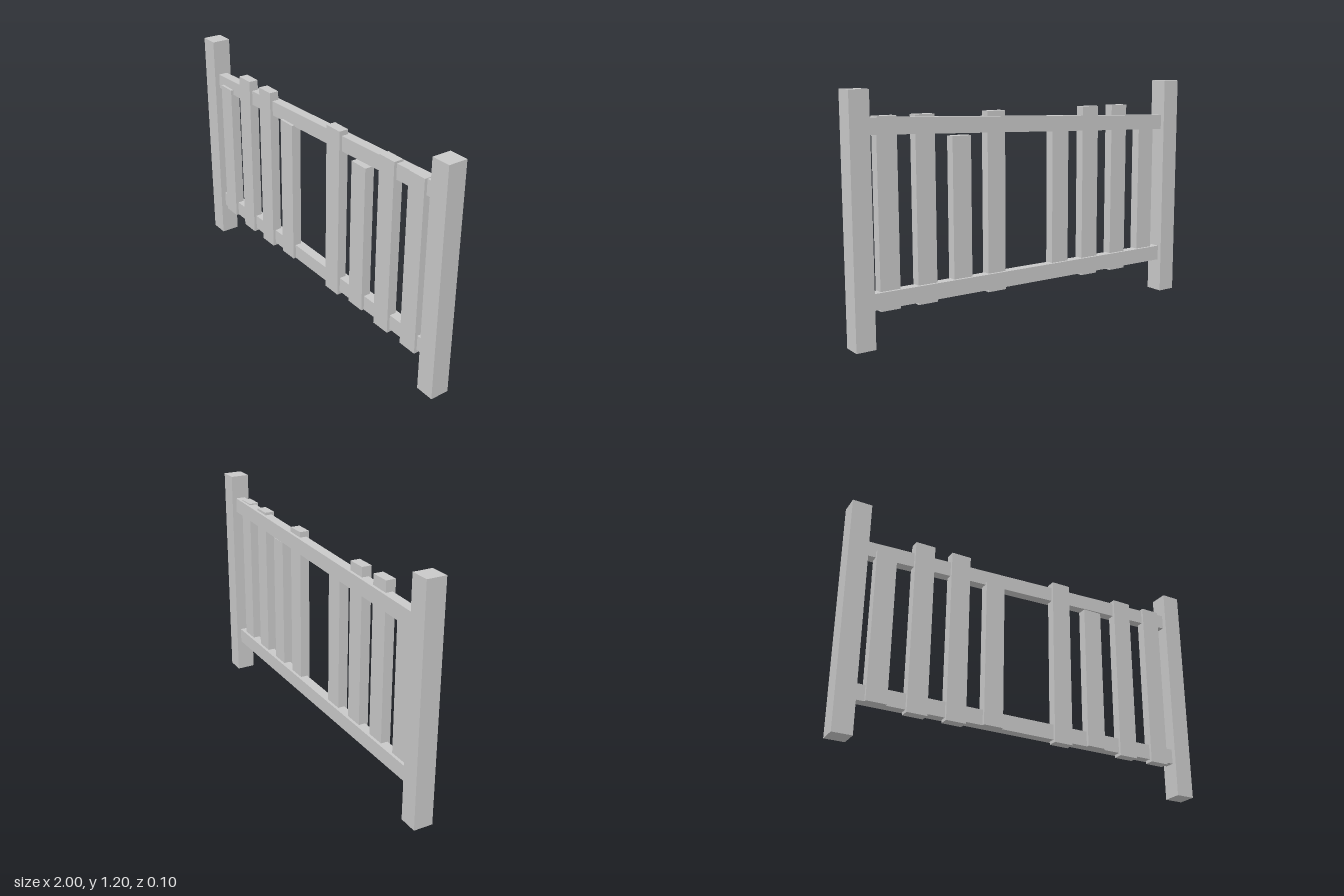
import * as THREE from 'three';

export function createModel() {
  const group = new THREE.Group();
  group.name = 'fence';
  const wood = new THREE.MeshStandardMaterial({ color: 0xc8c8c8 });
  wood.name = 'light grey wood';

  // Box given by its lower and upper bounds
  function board(name, x0, x1, y0, y1, z0, z1) {
    const mesh = new THREE.Mesh(new THREE.BoxGeometry(x1 - x0, y1 - y0, z1 - z0), wood);
    mesh.position.set((x0 + x1) / 2, (y0 + y1) / 2, (z0 + z1) / 2);
    mesh.name = name;
    group.add(mesh);
    return mesh;
  }

  // End posts
  for (const [name, side] of [['rightPost', -1], ['leftPost', 1]]) {
    board(name, side * 0.95 - 0.05, side * 0.95 + 0.05, 0, 1.2, -0.05, 0.05);
  }

  // Rails: the upper one slopes up towards the left post
  board('lowerRail', -0.9, 0.9, 0.18, 0.26, -0.027, 0.024);
  const upperRail = board('upperRail', -0.9, 0.9, 0.962, 1.041, -0.027, 0.024);
  const pos = upperRail.geometry.attributes.position;
  for (let i = 0; i < pos.count; i++) pos.setY(i, pos.getY(i) + pos.getX(i) * 0.036);
  upperRail.geometry.computeVertexNormals();

  // Pickets, with one missing in the middle and three cut short
  const shortSlots = [-4, -1, 2];
  for (const slot of [-4, -3, -2, -1, 1, 2, 3, 4]) {
    const x = slot * 0.2;
    const short = shortSlots.includes(slot);
    board(short ? 'shortPicket' : 'picket', x - 0.052, x + 0.052,
      short ? 0.18 : 0.164, short ? 0.963 : 1.075, -0.012, 0.039);
  }
  return group;
}
